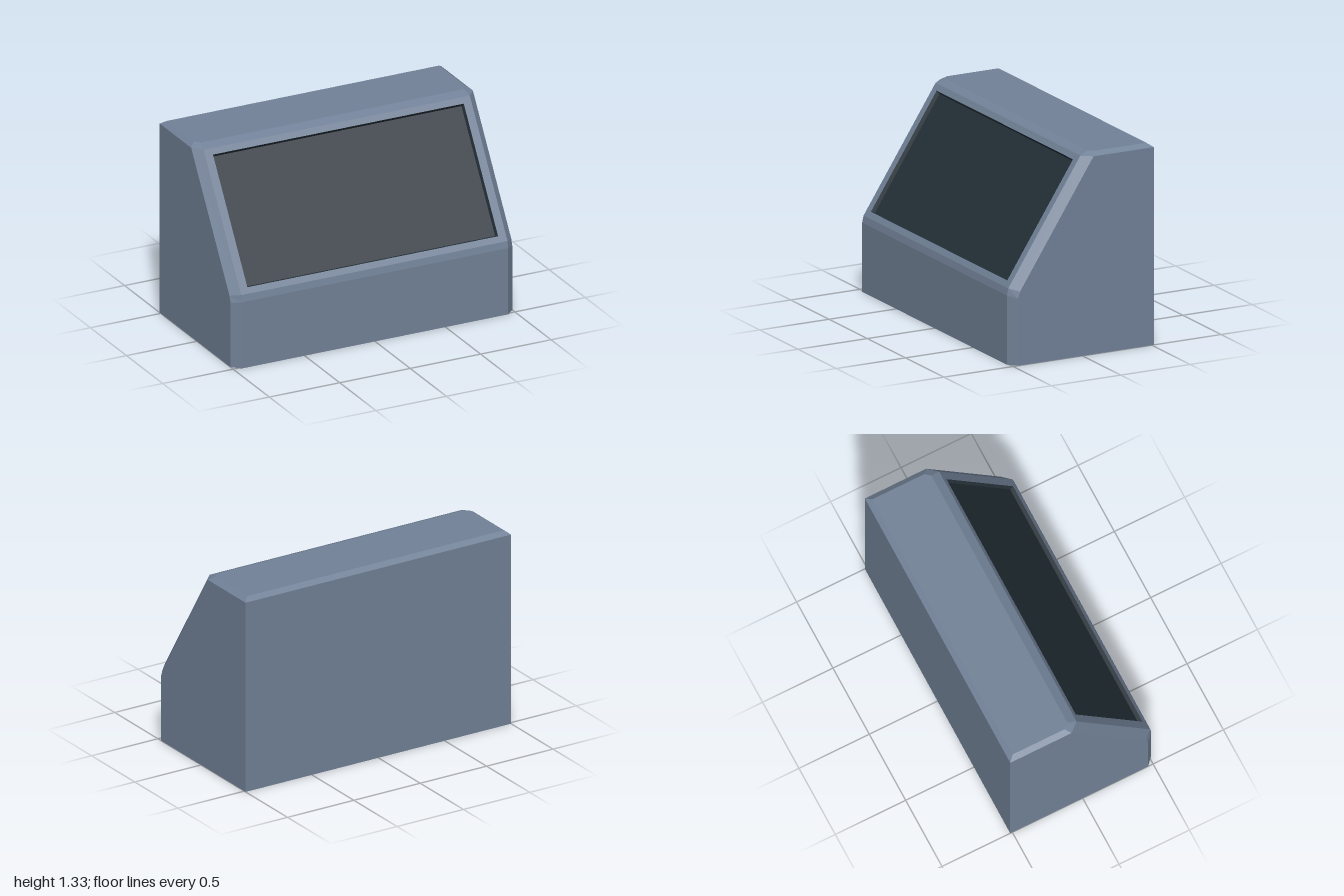
import * as THREE from 'three';

const bodyPaint = new THREE.MeshStandardMaterial({ color: 0x718197 });
bodyPaint.name = 'slate blue';
const screenGlass = new THREE.MeshStandardMaterial({ color: 0x243038 });
screenGlass.name = 'dark glass';

const V = (x, y, z) => new THREE.Vector3(x, y, z);
const mirror = (p) => V(-p.x, p.y, p.z);
const centre = V(0, 0.6, -0.1);

// Flat-faced mesh from convex polygons, each fanned into triangles
function polyMesh(name, polygons, material) {
  const points = [];
  for (const p of polygons)
    for (let i = 1; i < p.length - 1; i++) points.push(p[0], p[i], p[i + 1]);
  const geometry = new THREE.BufferGeometry().setFromPoints(points);
  geometry.computeVertexNormals();
  const mesh = new THREE.Mesh(geometry, material);
  mesh.name = name;
  return mesh;
}

// Turn a polygon so that it faces away from the middle of the cabinet
function outward(p) {
  const normal = p[1].clone().sub(p[0]).cross(p[2].clone().sub(p[0]));
  return normal.dot(p[0].clone().sub(centre)) < 0 ? [...p].reverse() : p;
}

// Four quads between an outer and an inner rectangle
const ring = (a, b) => a.map((p, i) => [p, a[(i + 1) % 4], b[(i + 1) % 4], b[i]]);

export function createModel() {
  const group = new THREE.Group();
  group.name = 'slopedConsole';

  // Side face outline: back bottom, back top, slope top, slope foot, front bend, front bottom
  const side = [[0, -0.515], [1.3, -0.515], [1.3, -0.08], [0.485, 0.45], [0.44, 0.465], [0, 0.465]]
    .map(([y, z]) => V(1, y, z));
  const [, backTop, sideTop, sideFoot, sideBend, sideBottom] = side;
  // Chamfered inner edges: roof corners, then the front profile
  const roofBack = V(0.965, 1.325, -0.48);
  const roofSide = V(0.965, 1.325, -0.11);
  const roofFront = V(0.935, 1.325, -0.075);
  const slopeTop = V(0.945, 1.3, -0.015);
  const slopeFoot = V(0.945, 0.5, 0.505);
  const bend = V(0.945, 0.455, 0.515);
  const bottom = V(0.945, 0, 0.515);

  // Side face and its chamfers, mirrored to both sides
  const half = [
    side,
    [backTop, sideTop, roofSide, roofBack],
    [sideTop, slopeTop, roofFront, roofSide],
    [sideTop, sideFoot, slopeFoot, slopeTop],
    [sideFoot, sideBend, bend, slopeFoot],
    [sideBend, sideBottom, bottom, bend],
  ];
  // Faces that run across the full width
  const across = [
    [side[0], backTop],
    [backTop, roofBack],
    [roofBack, roofSide, roofFront],
    [roofFront, slopeTop],
    [slopeFoot, bend],
    [bend, bottom],
    [bottom, sideBottom, side[0]],
  ].map((edge) => [...edge, ...edge.map(mirror).reverse()]);
  const shell = [...half, ...half.map((p) => p.map(mirror)), ...across].map(outward);
  group.add(polyMesh('cabinet', shell, bodyPaint));

  // Rectangle on the slope, counterclockwise from the front; depth goes into the cabinet
  const normal = V(0, 0.52, 0.8).normalize();
  const rect = (halfWidth, top, foot, depth) =>
    [[-1, foot], [1, foot], [1, top], [-1, top]].map(([s, t]) => {
      const p = slopeTop.clone().lerp(slopeFoot, t).addScaledVector(normal, -depth);
      p.x = s * halfWidth;
      return p;
    });
  const outer = rect(0.945, 0, 1, 0);
  const rim = rect(0.89, 0.044, 0.956, 0);
  const floor = rect(0.882, 0.053, 0.947, 0.025);

  // Sloped frame, the recess walls and the screen itself
  group.add(polyMesh('screenFrame', ring(outer, rim), bodyPaint));
  group.add(polyMesh('recessWalls', ring(rim, floor), screenGlass));
  group.add(polyMesh('screen', [floor], screenGlass));

  return group;
}
